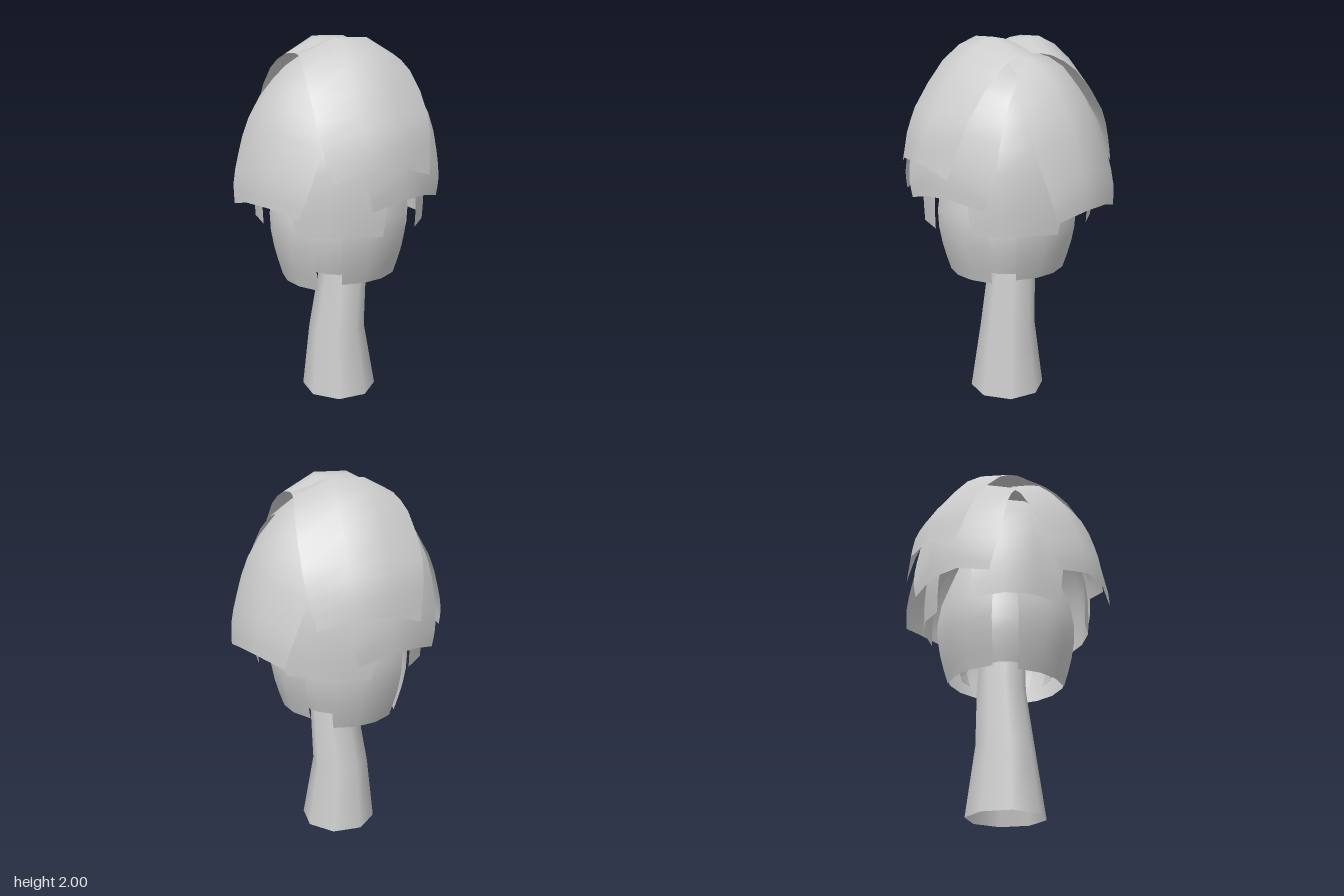
import * as THREE from 'three';

const material = new THREE.MeshStandardMaterial({ color: 0xcccccc, side: THREE.DoubleSide });

// Each row of a scale, top to rim: [half width, edge reach, edge height, middle reach, middle height]
const crownRows = [
  [0.256, 0, 1.92, 0, 1.965], [0.268, 0.1, 1.91, 0.14, 2], [0.298, 0.235, 1.83, 0.33, 1.88],
  [0.312, 0.4, 1.62, 0.485, 1.65], [0.297, 0.458, 1.47, 0.545, 1.52], [0.268, 0.503, 1.33, 0.57, 1.39],
];
const upperRows = [
  [0.22, 0, 1.83, 0, 1.9], [0.24, 0.1, 1.82, 0.13, 1.92], [0.265, 0.23, 1.78, 0.3, 1.86],
  [0.3, 0.38, 1.58, 0.46, 1.66], [0.3, 0.455, 1.4, 0.54, 1.45], [0.28, 0.51, 1.25, 0.575, 1.3],
  [0.25, 0.53, 1.15, 0.582, 1.19],
];
const sideRows = [
  [0.22, 0, 1.83, 0, 1.9], [0.24, 0.1, 1.82, 0.13, 1.9], [0.265, 0.25, 1.77, 0.3, 1.84],
  [0.29, 0.38, 1.6, 0.45, 1.66], [0.295, 0.44, 1.4, 0.515, 1.45], [0.275, 0.475, 1.25, 0.535, 1.32],
  [0.25, 0.48, 1.16, 0.535, 1.2],
];
const middleRows = [
  [0.17, 0, 1.82, 0, 1.86], [0.2, 0.1, 1.77, 0.12, 1.83], [0.22, 0.23, 1.67, 0.28, 1.73],
  [0.25, 0.36, 1.43, 0.425, 1.47], [0.245, 0.4, 1.2, 0.46, 1.23], [0.22, 0.4, 1.02, 0.455, 1.03],
];
const lowerRows = [
  [0.13, 0, 1.5, 0, 1.56], [0.17, 0.12, 1.46, 0.15, 1.53], [0.21, 0.25, 1.3, 0.3, 1.36],
  [0.22, 0.315, 1.05, 0.38, 1.07], [0.205, 0.3, 0.86, 0.36, 0.87], [0.175, 0.265, 0.7, 0.31, 0.7],
];
const innerRows = [
  [0.12, 0, 1.4, 0, 1.45], [0.15, 0.12, 1.32, 0.15, 1.38], [0.16, 0.2, 1.15, 0.24, 1.2],
  [0.16, 0.235, 0.98, 0.28, 1], [0.14, 0.22, 0.84, 0.265, 0.86], [0.12, 0.2, 0.76, 0.24, 0.76],
];

// A curved scale facing +z, three strips wide, turned to its place around the stalk
function scale(name, rows, degrees, lift = 0) {
  const steps = (rows.length - 1) * 2;
  const edge = new THREE.CatmullRomCurve3(rows.map(([w, v, y]) => new THREE.Vector3(w, y, v)));
  const middle = new THREE.CatmullRomCurve3(rows.map(([w, , , v, y]) => new THREE.Vector3(w / 3, y, v)));
  const geometry = new THREE.PlaneGeometry(1, 1, 3, steps);
  const p = geometry.attributes.position;
  for (let r = 0; r <= steps; r++) {
    const t = r / steps;
    const e = edge.getPoint(t), m = middle.getPoint(t);
    [[e, -1], [m, -1], [m, 1], [e, 1]].forEach(([q, side], c) => {
      p.setXYZ(r * 4 + c, q.x * side, q.y + lift * t, q.z);
    });
  }
  geometry.computeVertexNormals();
  const mesh = new THREE.Mesh(geometry, material);
  mesh.name = name;
  mesh.rotation.y = THREE.MathUtils.degToRad(degrees);
  return mesh;
}

// Bent, open eight-sided stalk; rings are [y, centre x, centre z, radius]
function stalk() {
  const rings = [[1.5, 0, 0, 0.1], [1.05, 0, -0.02, 0.12], [0.7, 0, -0.03, 0.135], [0.37, -0.012, 0.005, 0.158], [0, 0, 0, 0.21]];
  const geometry = new THREE.CylinderGeometry(1, 1, 1, 8, rings.length - 1, true);
  const p = geometry.attributes.position;
  rings.forEach(([y, x, z, radius], r) => {
    for (let c = 0; c <= 8; c++) {
      const a = c / 8 * Math.PI * 2, i = r * 9 + c;
      p.setXYZ(i, x + Math.sin(a) * radius, y, z + Math.cos(a) * radius);
      geometry.attributes.normal.setXYZ(i, Math.sin(a), 0.15, Math.cos(a));
    }
  });
  geometry.normalizeNormals();
  const mesh = new THREE.Mesh(geometry, material);
  mesh.name = 'stalk';
  return mesh;
}

export function createModel() {
  const model = new THREE.Group();
  model.name = 'scalyBud';
  model.add(stalk());

  // Two crown scales meeting along the top
  for (const degrees of [70, 250]) model.add(scale('crownScale', crownRows, degrees));

  // Lower tiers of four; quarter turns from the front through the left, back and right
  const upperLift = [0, 0.02, -0.03, -0.02];
  const middleLift = [0, 0, 0.01, 0.02];
  const lowerLift = [-0.01, 0.03, 0.05, 0.01];
  for (let k = 0; k < 4; k++) {
    model.add(scale('upperScale', k % 2 ? sideRows : upperRows, k * 90, upperLift[k]));
    model.add(scale('middleScale', middleRows, 45 + k * 90, middleLift[k]));
    model.add(scale('lowerScale', lowerRows, k * 90 - 9, lowerLift[k]));
    model.add(scale('innerScale', innerRows, k * 90 + 36));
  }
  return model;
}
